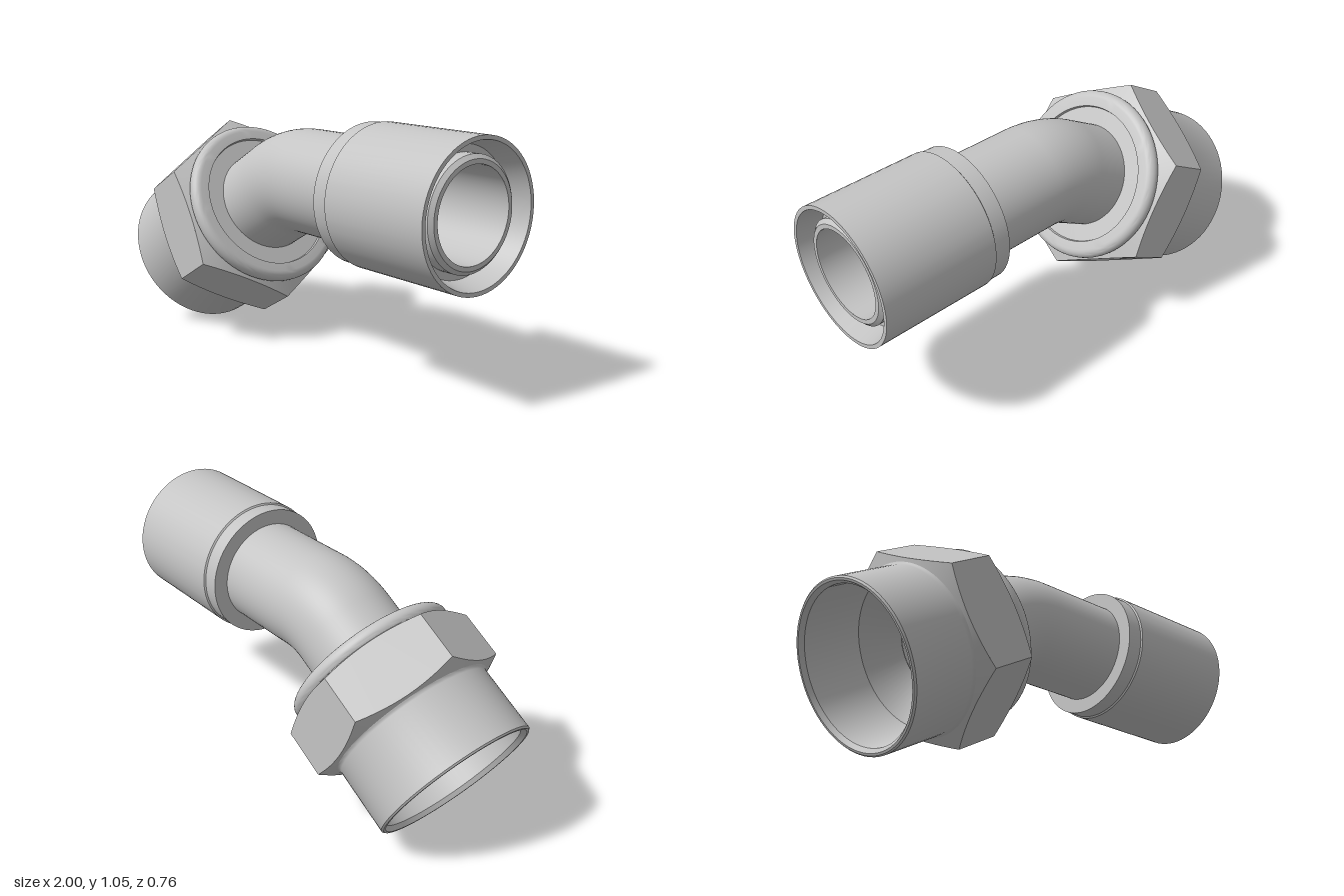
import * as THREE from 'three';
import { toCreasedNormals } from 'three/addons/utils/BufferGeometryUtils.js';

const steel = new THREE.MeshStandardMaterial({ color: 0xc4c4c4, side: THREE.DoubleSide });
steel.name = 'brushed steel';

const RAD = Math.PI / 180;
const APOTHEM = 0.38;
const CORNER = APOTHEM / Math.cos(30 * RAD);
const NUT_START = new THREE.Vector3(-0.8225, 0.31, 0);
const AXIS = new THREE.Vector3(Math.cos(30 * RAD), Math.sin(30 * RAD), 0);
const PIPE_Y = 0.755;

function add(parent, name, geometry) {
  const mesh = new THREE.Mesh(geometry, steel);
  mesh.name = name;
  parent.add(mesh);
  return mesh;
}

// Profile points are [radius, distance along axis]
function turned(profile) {
  const g = new THREE.LatheGeometry(profile.map(([r, s]) => new THREE.Vector2(r, s)), 72);
  return toCreasedNormals(g, 0.5);
}

// Distance along the axis of the chamfer cones at a given radius
const lowS = (r) => 0.305 + (r - 0.365) * 0.45;
const highS = (r) => 0.575 - (r - 0.36) * 0.39;

// Cone trimmed to the hexagon outline
function hexChamfer(inner, sAt, flip) {
  const rows = [new THREE.Vector2(inner, sAt(inner)), new THREE.Vector2(CORNER, sAt(CORNER))];
  if (flip) rows.reverse();
  const g = new THREE.LatheGeometry(rows, 72);
  const p = g.attributes.position;
  for (let i = 0; i < p.count; i++) {
    const x = p.getX(i), z = p.getZ(i), r = Math.hypot(x, z);
    if (r < CORNER - 0.001) continue;
    const a = Math.atan2(z, x) / RAD + 360;
    const off = ((a + 0.0001) % 60) - 30;
    const hexR = APOTHEM / Math.cos(off * RAD);
    p.setXYZ(i, x * hexR / r, sAt(hexR), z * hexR / r);
  }
  return toCreasedNormals(g, 0.5);
}

// One flat of the hexagon with curved chamfer edges
function hexFlat(hole) {
  const low = [], high = [];
  for (let a = -30; a <= 30; a += 5) {
    const u = APOTHEM * Math.tan(a * RAD), r = APOTHEM / Math.cos(a * RAD);
    low.push(new THREE.Vector2(u, lowS(r)));
    high.unshift(new THREE.Vector2(u, highS(r)));
  }
  const shape = new THREE.Shape([...low, ...high]);
  if (hole) shape.holes.push(new THREE.Path().absarc(hole.u, hole.s, hole.r, 0, Math.PI * 2, true));
  return new THREE.ShapeGeometry(shape, 16);
}

function makeNut() {
  const nut = new THREE.Group();
  nut.name = 'unionNut';
  nut.position.copy(NUT_START);
  nut.rotation.z = -60 * RAD;

  // Round skirt with its bore and inner seat
  add(nut, 'nutSkirt', turned([
    [0.19, 0.42], [0.325, 0.3], [0.325, 0.02], [0.34, 0], [0.35, 0],
    [0.357, 0.007], [0.357, 0.29], [0.36, 0.3], [0.365, 0.305],
  ]));

  add(nut, 'lowerChamfer', hexChamfer(0.365, lowS, false));
  add(nut, 'upperChamfer', hexChamfer(0.36, highS, true));

  // Six flats, one with a drilled hole
  const hole = { u: 0.127, s: 0.465, r: 0.046 };
  for (let i = 0; i < 6; i++) {
    const drilled = i === 0;
    const side = new THREE.Group();
    side.name = 'nutSide';
    side.rotation.y = (120 + i * 60) * RAD;
    nut.add(side);
    add(side, 'nutFlat', hexFlat(drilled ? hole : null)).position.z = APOTHEM;
    if (drilled) {
      const pit = turned([[0.001, -0.05], [0.03, -0.035], [hole.r, 0]]);
      const mesh = add(side, 'drilledHole', pit);
      mesh.rotation.x = Math.PI / 2;
      mesh.position.set(hole.u, hole.s, APOTHEM);
    }
  }

  // Rounded collar and recessed face around the pipe
  const collar = [];
  for (let a = -45; a <= 90; a += 15) {
    collar.push([0.34 + 0.035 * Math.cos(a * RAD), 0.598 + 0.035 * Math.sin(a * RAD)]);
  }
  collar.push([0.303, 0.633], [0.3, 0.62], [0.215, 0.62]);
  add(nut, 'nutCollar', turned(collar));
  return nut;
}

// Bent pipe centre line, starting inside the nut
function pipePath(start, endX) {
  const corner = NUT_START.clone().addScaledVector(AXIS, (PIPE_Y - NUT_START.y) / AXIS.y);
  const bendIn = corner.clone().addScaledVector(AXIS, -0.105);
  const bendOut = corner.clone().add(new THREE.Vector3(0.105, 0, 0));
  const path = new THREE.CurvePath();
  path.add(new THREE.LineCurve3(NUT_START.clone().addScaledVector(AXIS, start), bendIn));
  path.add(new THREE.QuadraticBezierCurve3(bendIn, corner, bendOut));
  path.add(new THREE.LineCurve3(bendOut, new THREE.Vector3(endX, PIPE_Y, 0)));
  return path;
}

export function createModel() {
  const model = new THREE.Group();
  model.name = 'elbowFitting';

  model.add(makeNut());
  add(model, 'pipeOuter', new THREE.TubeGeometry(pipePath(0.6, 0.42), 64, 0.225, 64));
  add(model, 'pipeBore', new THREE.TubeGeometry(pipePath(0.42, 0.97), 64, 0.189, 64));

  // Straight end sleeve with flared mouth and chamfered pipe tip
  const sleeve = add(model, 'endSleeve', turned([
    [0.22, 0.405], [0.29, 0.405], [0.29, 0.475], [0.297, 0.48], [0.297, 1], [0.28, 1],
    [0.255, 0.9], [0.225, 0.9], [0.225, 0.955], [0.208, 0.97], [0.189, 0.97],
  ]));
  sleeve.rotation.z = -Math.PI / 2;
  sleeve.position.y = PIPE_Y;
  return model;
}
